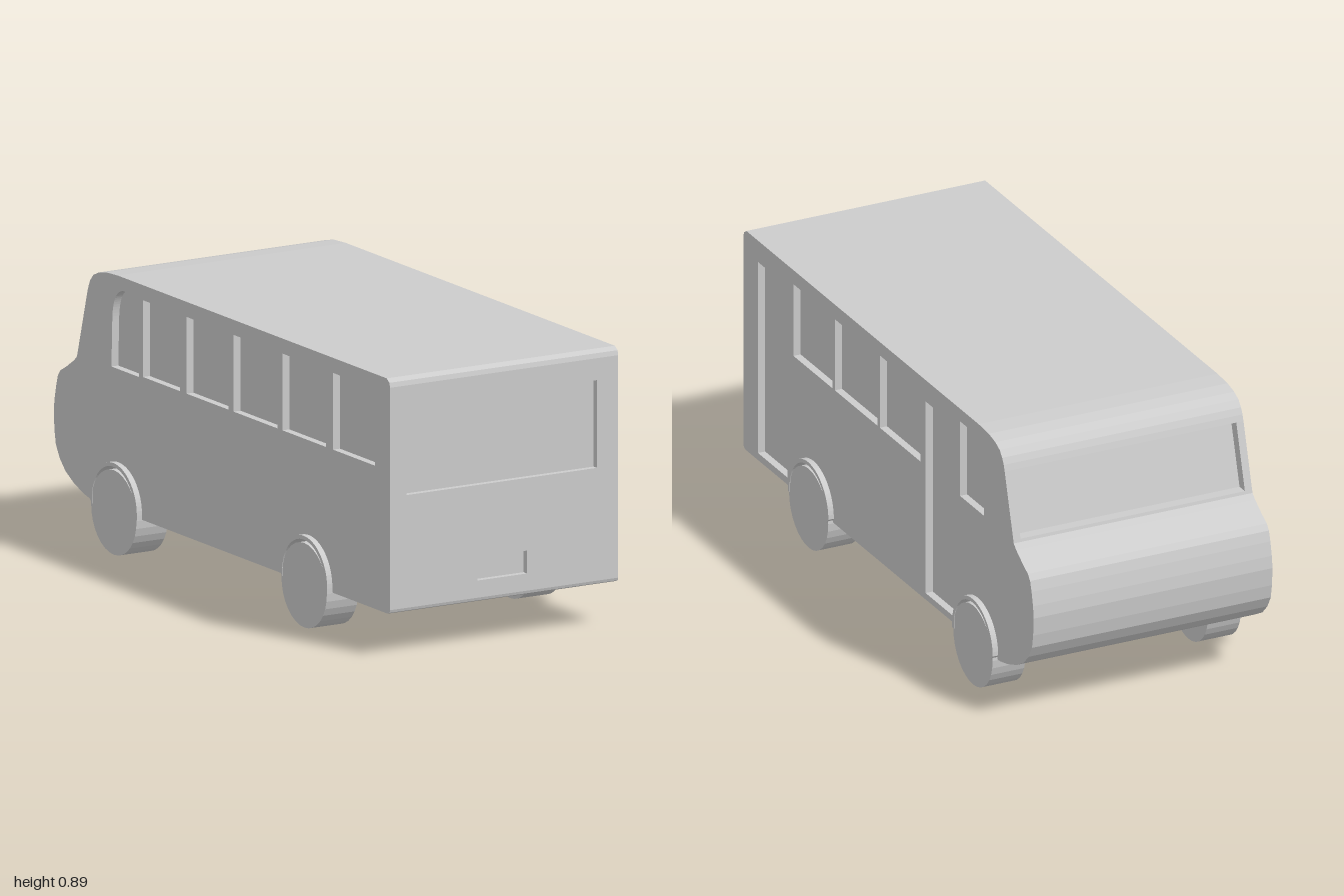
import * as THREE from 'three';

const HALF = 0.415, SKIN = 0.025, CORE = HALF - SKIN;
const AXLES = [-0.615, 0.517];
const ARCH_Y = 0.153, ARCH_IN = 0.128, ARCH_OUT = 0.14, FLOOR = 0.138;

// Extrude a (z, y) shape across x, from x0 to x1
function across(shape, x0, x1) {
  const g = new THREE.ExtrudeGeometry(shape, { depth: x1 - x0, bevelEnabled: false, curveSegments: 16 });
  g.rotateY(-Math.PI / 2);
  g.translate(x1, 0, 0);
  return g;
}

function rect(path, a0, b0, a1, b1) {
  path.moveTo(a0, b0);
  path.lineTo(a1, b0);
  path.lineTo(a1, b1);
  path.lineTo(a0, b1);
  path.closePath();
  return path;
}

// Side outline with wheel arches; notched leaves room for the rear panel and windscreen recess
function outline(notched) {
  const s = new THREE.Shape();
  s.moveTo(0.985, FLOOR);
  const go = (pts) => pts.forEach(([z, y]) => s.lineTo(z, y));
  go([[0.997, 0.143], [1, 0.152]]);
  if (notched) go([[1, 0.165], [0.98, 0.165], [0.98, 0.855], [1, 0.855]]);
  // Roof and its rounded front
  go([[1, 0.862], [0.996, 0.877], [0.98, 0.888], [-0.62, 0.888], [-0.69, 0.884],
    [-0.735, 0.874], [-0.765, 0.86], [-0.783, 0.84], [-0.793, 0.82], [-0.8, 0.8]]);
  if (notched) go([[-0.762, 0.8], [-0.822, 0.59], [-0.859, 0.59]]);
  // Nose
  go([[-0.862, 0.58], [-0.88, 0.564], [-0.925, 0.535], [-0.96, 0.516], [-0.975, 0.498], [-0.985, 0.465],
    [-0.995, 0.42], [-1, 0.38], [-0.996, 0.32], [-0.988, 0.275], [-0.965, 0.235],
    [-0.93, 0.2], [-0.88, 0.172], [-0.82, 0.15], [-0.765, FLOOR]]);
  for (const z of AXLES) {
    s.lineTo(z - ARCH_IN, FLOOR);
    s.absarc(z, ARCH_Y, ARCH_IN, Math.PI, 0, true);
    s.lineTo(z + ARCH_IN, FLOOR);
  }
  s.closePath();
  return s;
}

// Cab window with a rounded upper front corner
function cabWindow() {
  const p = new THREE.Path();
  p.moveTo(-0.492, 0.59);
  p.lineTo(-0.492, 0.845);
  p.lineTo(-0.585, 0.845);
  p.bezierCurveTo(-0.63, 0.84, -0.65, 0.8, -0.652, 0.74);
  p.lineTo(-0.657, 0.59);
  p.closePath();
  return p;
}

export function createModel() {
  const bus = new THREE.Group();
  bus.name = 'minibus';
  const grey = new THREE.MeshStandardMaterial({ color: 0xcccccc, flatShading: true });
  grey.name = 'plain grey';
  const add = (name, geometry) => {
    const m = new THREE.Mesh(geometry, grey);
    m.name = name;
    bus.add(m);
    return m;
  };

  add('bodyCore', across(outline(true), -CORE, CORE));

  // Side skins: openings as [z0, y0, z1, y1]
  const doorSide = [[0.695, 0.162, 0.9, 0.815], [0.385, 0.595, 0.655, 0.84], [0.075, 0.595, 0.37, 0.838],
    [-0.22, 0.595, 0.06, 0.842], [-0.465, 0.16, -0.255, 0.815]];
  const windowSide = [[0.66, 0.91], [0.36, 0.62], [0.07, 0.33], [-0.21, 0.04], [-0.47, -0.25]]
    .map(([a, b]) => [a, 0.595, b, 0.84]);
  for (const [name, openings, x] of [['leftSide', doorSide, CORE], ['rightSide', windowSide, -HALF]]) {
    const s = outline(false);
    for (const o of openings) s.holes.push(rect(new THREE.Path(), ...o));
    s.holes.push(cabWindow());
    add(name, across(s, x, x + SKIN));
  }

  // Flat end wall with window and plate recesses
  const wall = rect(new THREE.Shape(), -CORE, 0.165, CORE, 0.855);
  wall.holes.push(rect(new THREE.Path(), -0.355, 0.512, 0.338, 0.792));
  wall.holes.push(rect(new THREE.Path(), -0.097, 0.207, 0.083, 0.28));
  const wallGeometry = new THREE.ExtrudeGeometry(wall, { depth: 0.02, bevelEnabled: false });
  wallGeometry.translate(0, 0, 0.98);
  add('endWall', wallGeometry);

  // Wheels and arch trims
  for (const z of AXLES) {
    const trim = new THREE.Shape();
    trim.moveTo(z - ARCH_OUT, FLOOR);
    trim.absarc(z, ARCH_Y, ARCH_OUT, Math.PI, 0, true);
    trim.lineTo(z + ARCH_OUT, FLOOR);
    trim.lineTo(z + ARCH_IN, FLOOR);
    trim.absarc(z, ARCH_Y, ARCH_IN, 0, Math.PI, false);
    trim.lineTo(z - ARCH_IN, FLOOR);
    trim.closePath();
    for (const side of [-1, 1]) {
      const x = side * 0.4235;
      add('wheelArch', across(trim, x - 0.0105, x + 0.0105));
      const tyre = new THREE.CylinderGeometry(0.135, 0.135, 0.115, 32);
      tyre.rotateZ(Math.PI / 2);
      add('wheel', tyre).position.set(side * 0.3745, 0.135, z);
    }
  }
  return bus;
}
